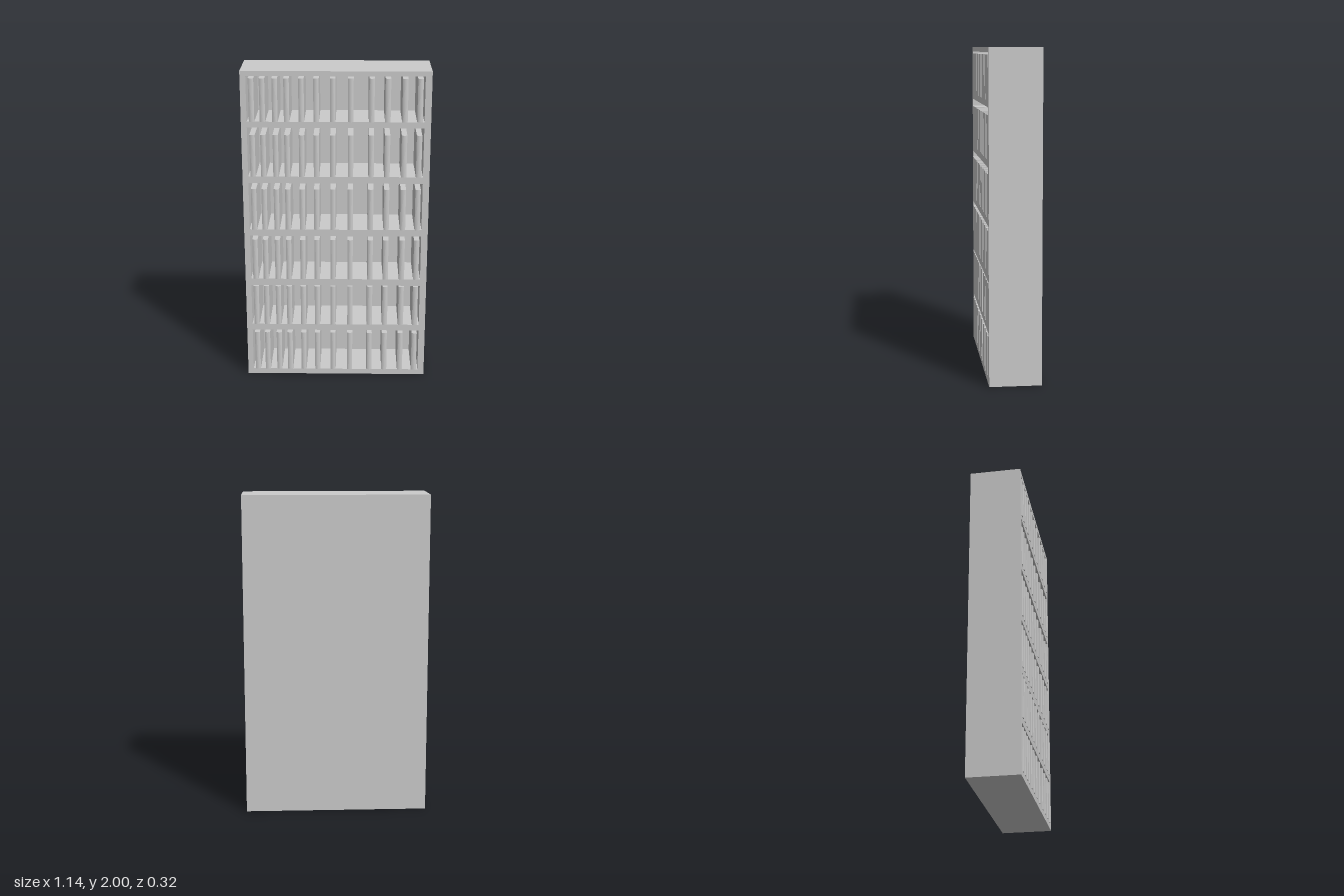
import * as THREE from 'three';

const BACK = -0.16, FRONT = 0.155, PANEL = 0.03;
const HALF_W = 0.57, LEFT = -0.535, RIGHT = 0.53;

// each bay: floor, ceiling, height of the book tops
const bays = [
  [0.035, 0.315, 0.297],
  [0.355, 0.627, 0.62],
  [0.67, 0.96, 0.935],
  [1.003, 1.305, 1.267],
  [1.347, 1.655, 1.61],
  [1.692, 1.97, 1.957],
];
const bookCentres = [-0.505, -0.44, -0.365, -0.295, -0.207, -0.118, -0.018, 0.089, 0.214, 0.311, 0.413, 0.503];
const BOOK_W = 0.033;

// outline of a book seen from above: square block with a slightly rounded spine
function bookGeometry(height) {
  const w = BOOK_W / 2, spine = -FRONT;
  const shape = new THREE.Shape();
  shape.moveTo(-w, -(BACK + PANEL));
  shape.lineTo(-w, spine);
  shape.quadraticCurveTo(0, spine - 0.01, w, spine);
  shape.lineTo(w, -(BACK + PANEL));
  shape.closePath();
  const geo = new THREE.ExtrudeGeometry(shape, { depth: height, bevelEnabled: false, curveSegments: 6 });
  return geo.rotateX(-Math.PI / 2);
}

function rectangle(path, x0, y0, x1, y1) {
  path.moveTo(x0, y0);
  path.lineTo(x1, y0);
  path.lineTo(x1, y1);
  path.lineTo(x0, y1);
  path.closePath();
  return path;
}

export function createModel() {
  const model = new THREE.Group();
  model.name = 'bookcase';
  const material = new THREE.MeshStandardMaterial({ color: 0xcccccc });

  // sides, top, base and shelves in one piece, with an opening per bay
  const outline = rectangle(new THREE.Shape(), -HALF_W, 0, HALF_W, 2);
  for (const [floor, ceiling] of bays) {
    outline.holes.push(rectangle(new THREE.Path(), LEFT, floor, RIGHT, ceiling));
  }
  const frameGeo = new THREE.ExtrudeGeometry(outline, { depth: FRONT - BACK - PANEL, bevelEnabled: false });
  const frame = new THREE.Mesh(frameGeo, material);
  frame.name = 'frame';
  frame.position.z = BACK + PANEL;
  model.add(frame);

  // back panel
  const back = new THREE.Mesh(new THREE.BoxGeometry(HALF_W * 2, 2, PANEL), material);
  back.name = 'backPanel';
  back.position.set(0, 1, BACK + PANEL / 2);
  model.add(back);

  // a spaced row of books on every shelf
  bays.forEach(([floor, , top], i) => {
    const row = new THREE.Group();
    row.name = `bookRow${i + 1}`;
    const geo = bookGeometry(top - floor);
    for (const x of bookCentres) {
      const book = new THREE.Mesh(geo, material);
      book.name = 'book';
      book.position.set(x, floor, 0);
      row.add(book);
    }
    model.add(row);
  });

  return model;
}
